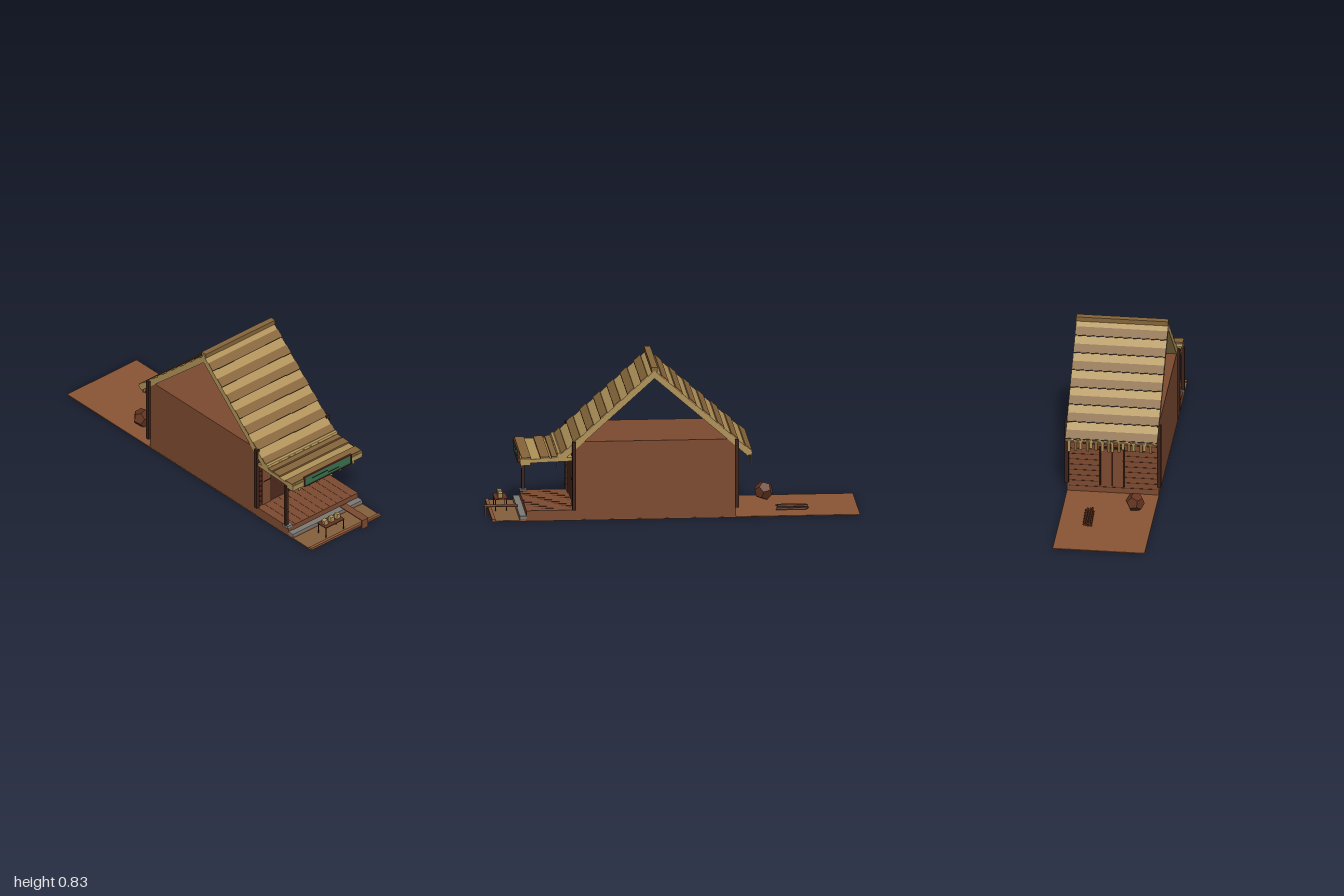
import * as THREE from 'three';

const mat = (color) => new THREE.MeshStandardMaterial({ color, flatShading: true });
const M = {
  earth: mat(0x8a5434), yard: mat(0x85603c), wall: mat(0x7c4a30), dark: mat(0x50291f),
  post: mat(0x3c2118), line: mat(0x2c1a14), straw: mat(0xb09258), strawDark: mat(0x86653a),
  stone: mat(0x7d7a76), green: mat(0x36704e), frame: mat(0x5a2a1e), clay: mat(0x63331f),
};

// box given by its minimum and maximum corners
function box(parent, name, m, [x0, y0, z0], [x1, y1, z1]) {
  const mesh = new THREE.Mesh(new THREE.BoxGeometry(x1 - x0, y1 - y0, z1 - z0), m);
  mesh.position.set((x0 + x1) / 2, (y0 + y1) / 2, (z0 + z1) / 2);
  mesh.name = name;
  parent.add(mesh);
  return mesh;
}

function group(parent, name) {
  const g = new THREE.Group();
  g.name = name;
  parent.add(g);
  return g;
}

let seed = 7;
const rand = () => (seed = (seed * 16807) % 2147483647) / 2147483647;

const W = 0.247;

// one roof slope: thick slab with dark raised courses, running down from the ridge
function roofSlope(parent, name, sign, length, angle) {
  const g = group(parent, name);
  g.position.set(0, 0.812, 0.1);
  g.rotation.y = sign > 0 ? 0 : Math.PI;
  const slope = group(g, 'slope');
  slope.rotation.x = angle;
  box(slope, 'thatchSlab', M.straw, [-W, -0.032, 0], [W, 0, length]);
  const n = 7, step = length / n;
  for (let i = 0; i < n; i++) {
    const end = (i + 1) * step;
    box(slope, 'thatchCourse', M.strawDark, [-W, -0.004, end - step * 0.52], [W, 0.006, end - 0.003]);
    box(slope, 'courseShadow', M.line, [-W, -0.004, end - 0.003], [W, 0.003, end]);
  }
}

// eave log with a ragged straw fringe hanging below it
function eave(parent, name, z, count) {
  const g = group(parent, name);
  const log = new THREE.Mesh(new THREE.CylinderGeometry(0.016, 0.016, 2 * W, 8), M.straw);
  log.rotation.z = Math.PI / 2;
  log.position.set(0, 0.355, z);
  log.name = 'eaveLog';
  g.add(log);
  const outer = z + Math.sign(z) * 0.012;
  for (let i = 0; i < count; i++) {
    const x = -W + 0.015 + (i + 0.1 + rand() * 0.5) * (2 * W - 0.03) / count;
    const w = 0.016, bottom = 0.285 + rand() * 0.03;
    box(g, 'fringe', i % 2 ? M.straw : M.strawDark, [x, bottom, outer - 0.003], [x + w, 0.36, outer + 0.003]);
  }
}

export function createModel() {
  const root = new THREE.Group();
  root.name = 'thatchedHouse';

  // ground strip and front curb
  box(root, 'ground', M.earth, [-W, 0, -1], [W, 0.005, 0.8]);
  box(root, 'frontYard', M.yard, [-W, 0, 0.8], [W, 0.005, 0.965]);
  box(root, 'curb', M.earth, [-W, 0, 0.95], [W, 0.013, 0.968]);

  // house body and corner posts
  box(root, 'houseBody', M.wall, [-0.246, 0, -0.335], [0.246, 0.43, 0.525]);
  for (const s of [-1, 1]) for (const z of [0.53, -0.34])
    box(root, 'cornerPost', M.post, [s * 0.248 - 0.011, 0.058, z - 0.01], [s * 0.248 + 0.011, 0.43, z + 0.01]);

  // porch deck, boards and stone step
  const porch = group(root, 'porch');
  box(porch, 'deck', M.wall, [-W, 0, 0.525], [W, 0.057, 0.785]);
  for (let i = 1; i < 10; i++) {
    const x = -W + i * 2 * W / 10;
    box(porch, 'deckSeam', M.dark, [x - 0.001, 0.055, 0.535], [x + 0.001, 0.0578, 0.784]);
  }
  box(porch, 'stoneStep', M.stone, [-W, 0.013, 0.785], [W, 0.028, 0.82]);
  box(porch, 'stepBase', M.earth, [-W, 0, 0.785], [W, 0.013, 0.82]);
  box(porch, 'footingStone', M.stone, [-0.256, 0.05, 0.745], [-0.218, 0.064, 0.785]);
  box(porch, 'porchPost', M.post, [-0.257, 0.06, 0.757], [-0.237, 0.318, 0.773]);

  // shop front: dark opening, shutter panels and side lattices
  const front = group(root, 'shopFront');
  box(front, 'darkOpening', M.dark, [-0.24, 0.057, 0.524], [0.24, 0.425, 0.528]);
  for (const [a, b] of [[-0.21, -0.152], [0.09, 0.149], [0.151, 0.209]]) {
    box(front, 'shutter', M.wall, [a, 0.057, 0.528], [b, 0.31, 0.534]);
    box(front, 'shutterBar', M.line, [a + 0.004, 0.201, 0.534], [b - 0.004, 0.205, 0.536]);
  }
  for (const s of [-1, 1]) {
    const x = s * 0.229;
    box(front, 'latticePanel', M.frame, [x - 0.009, 0.057, 0.528], [x + 0.009, 0.31, 0.531]);
    for (let y = 0.085; y < 0.31; y += 0.032)
      box(front, 'latticeRung', M.line, [x - 0.01, y, 0.531], [x + 0.01, y + 0.003, 0.534]);
  }

  // back wall: siding seams and double door
  const back = group(root, 'backWall');
  for (let y = 0.035; y < 0.42; y += 0.032)
    box(back, 'sidingSeam', M.dark, [-0.235, y, -0.337], [0.235, y + 0.003, -0.335]);
  for (const s of [-1, 1])
    box(back, 'backDoor', M.wall, [0.005 + s * 0.029 - 0.028, 0.06, -0.342], [0.005 + s * 0.029 + 0.028, 0.27, -0.335]);
  for (const x of [-0.06, 0.005, 0.07]) {
    const h = x === 0.005 ? 0.002 : 0.005;
    box(back, 'doorJamb', M.post, [x - h, 0.05, -0.347], [x + h, 0.275, -0.335]);
  }
  box(back, 'doorLintel', M.post, [-0.065, 0.27, -0.347], [0.075, 0.28, -0.335]);

  // main roof
  const roof = group(root, 'roof');
  roofSlope(roof, 'frontRoof', 1, 0.68, 0.735);
  roofSlope(roof, 'backRoof', -1, 0.69, 0.715);
  box(roof, 'ridgeCap', M.strawDark, [-W, 0.805, 0.083], [W, 0.83, 0.117]);
  eave(roof, 'frontEave', 0.605, 9);
  eave(roof, 'backEave', -0.408, 16);

  // porch awning, sloping gently to the front
  const awning = group(root, 'awning');
  awning.position.set(0, 0.345, 0.54);
  awning.rotation.x = 0.03;
  box(awning, 'awningSlab', M.straw, [-W, -0.02, 0], [W, 0, 0.28]);
  for (const z of [0.06, 0.12, 0.22])
    box(awning, 'awningCourse', M.strawDark, [-W, -0.002, z], [W, 0.01, z + 0.05]);
  box(awning, 'awningBeam', M.straw, [-W, -0.033, 0.225], [W, 0.005, 0.278]);
  for (const x of [-0.19, -0.125, -0.057, 0.033, 0.1, 0.168, 0.192])
    box(awning, 'awningFringe', M.straw, [x - 0.008, -0.05 - rand() * 0.012, 0.268], [x + 0.008, -0.02, 0.272]);

  // plain sign board
  const sign = group(root, 'signBoard');
  box(sign, 'signPanel', M.green, [-0.16, 0.302, 0.816], [0.16, 0.36, 0.822]);
  for (const y of [0.3, 0.357]) box(sign, 'signFrame', M.frame, [-0.166, y, 0.814], [0.166, y + 0.005, 0.825]);
  for (const s of [-1, 1])
    box(sign, 'signFrame', M.frame, [s * 0.164 - 0.003, 0.3, 0.814], [s * 0.164 + 0.003, 0.362, 0.825]);
  box(sign, 'signStripe', M.line, [-0.115, 0.333, 0.822], [0, 0.336, 0.824]);
  box(sign, 'signStripe', M.line, [0, 0.318, 0.822], [0.08, 0.321, 0.824]);

  // small table with three wares
  const table = group(root, 'table');
  box(table, 'tableTop', M.clay, [-0.117, 0.066, 0.867], [0.017, 0.071, 0.937]);
  for (const x of [-0.112, 0.012]) for (const z of [0.872, 0.932])
    box(table, 'tableLeg', M.post, [x - 0.002, 0.003, z - 0.002], [x + 0.002, 0.067, z + 0.002]);
  [-0.095, -0.05, -0.007].forEach((x, i) => {
    const ware = box(table, 'ware', M.straw, [x - 0.012, 0.072, 0.893], [x + 0.012, 0.1, 0.917]);
    ware.rotation.z = [0.2, -0.08, -0.2][i];
  });

  // entry plank with end board
  const plank = group(root, 'entryPlank');
  box(plank, 'plankTop', M.wall, [0.088, 0.053, 0.82], [0.132, 0.058, 1]);
  box(plank, 'plankEnd', M.wall, [0.088, 0, 0.99], [0.132, 0.054, 0.996]);

  // clay jar behind the house
  const jar = new THREE.Mesh(new THREE.DodecahedronGeometry(0.052), M.clay);
  jar.position.set(-0.14, 0.053, -0.515);
  jar.rotation.set(0.2, 0.3, 0.1);
  jar.name = 'jar';
  root.add(jar);

  // stacked firewood
  const wood = group(root, 'firewood');
  for (let i = 0; i < 7; i++) {
    const stick = new THREE.Mesh(new THREE.CylinderGeometry(0.006, 0.006, 0.165, 5), M.clay);
    stick.rotation.set(Math.PI / 2, 0, (rand() - 0.5) * 0.14);
    const row = i < 4 ? 0 : 1;
    stick.position.set(0.076 + (row ? i - 3.5 : i) * 0.013, 0.012 + row * 0.014, -0.65 + (rand() - 0.5) * 0.02);
    stick.name = 'stick';
    wood.add(stick);
  }
  return root;
}
